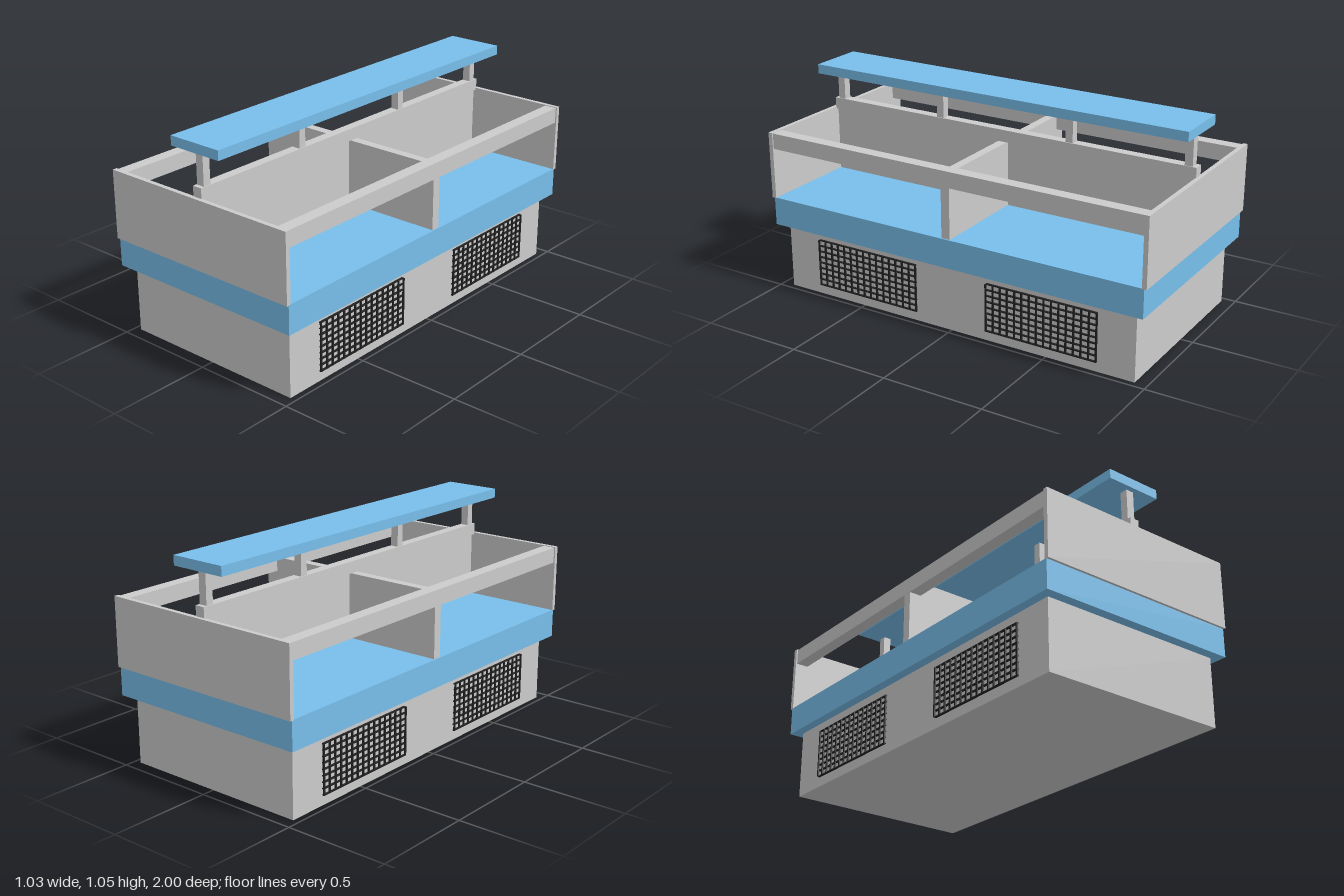
import * as THREE from 'three';

export function createModel() {
  const model = new THREE.Group();
  model.name = 'displayCounter';

  const grey = new THREE.MeshStandardMaterial({ color: 0xcccccc });
  const blue = new THREE.MeshStandardMaterial({ color: 0x78bfeb });
  const dark = new THREE.MeshStandardMaterial({ color: 0x222222 });

  // Box given by its [min, max] extents on each axis
  function box(name, [x0, x1], [y0, y1], [z0, z1], material = grey, parent = model) {
    const mesh = new THREE.Mesh(new THREE.BoxGeometry(x1 - x0, y1 - y0, z1 - z0), material);
    mesh.position.set((x0 + x1) / 2, (y0 + y1) / 2, (z0 + z1) / 2);
    mesh.name = name;
    parent.add(mesh);
    return mesh;
  }

  // Plinth and wide coloured tray
  box('base', [-0.47, 0.47], [0, 0.332], [-0.94, 0.94]);
  box('tray', [-0.515, 0.515], [0.332, 0.472], [-0.988, 0.988], blue);

  // End walls and the long top rails joining them
  for (const s of [-1, 1]) {
    const z = s > 0 ? [0.978, 1] : [-1, -0.978];
    const x = s > 0 ? [0.45, 0.511] : [-0.511, -0.45];
    box('endWall', [-0.517, 0.517], [0.47, 0.8], z);
    box('sideRail', x, [0.72, 0.797], [-0.978, 0.978]);
  }

  // Cross divider, lengthwise partition and its cap
  box('crossDivider', [-0.509, 0.509], [0.47, 0.79], [-0.022, 0.022]);
  box('centrePartition', [-0.011, 0.011], [0.47, 0.8], [-0.978, 0.978]);
  box('partitionCap', [-0.024, 0.024], [0.79, 0.848], [-0.982, 0.982]);

  // Raised shelf on four posts
  for (const z of [-0.943, -0.352, 0.352, 0.943]) {
    box('shelfPost', [-0.02, 0.02], [0.848, 1.002], [z - 0.019, z + 0.019]);
  }
  box('topShelf', [-0.14, 0.14], [1.0, 1.046], [-0.988, 0.988], blue);

  // Ventilation grilles: crossing bars, two on each long side
  const columns = 15, rows = 8;
  const yLow = 0.05, yHigh = 0.285, zLow = 0.192, zHigh = 0.755, bar = 0.004;
  for (const sx of [-1, 1]) {
    for (const sz of [-1, 1]) {
      const grille = new THREE.Group();
      grille.name = 'ventGrille';
      const span = (a, b) => (sx > 0 ? [a, b] : [-b, -a]);
      for (let i = 0; i <= columns; i++) {
        const z = sz * THREE.MathUtils.lerp(zLow, zHigh, i / columns);
        box('verticalBar', span(0.477, 0.484), [yLow, yHigh], [z - bar, z + bar], dark, grille);
      }
      for (let j = 0; j <= rows; j++) {
        const y = THREE.MathUtils.lerp(yLow, yHigh, j / rows);
        const z = sz > 0 ? [zLow, zHigh] : [-zHigh, -zLow];
        box('horizontalBar', span(0.469, 0.48), [y - bar * 0.7, y + bar * 0.7], z, dark, grille);
      }
      model.add(grille);
    }
  }

  return model;
}
